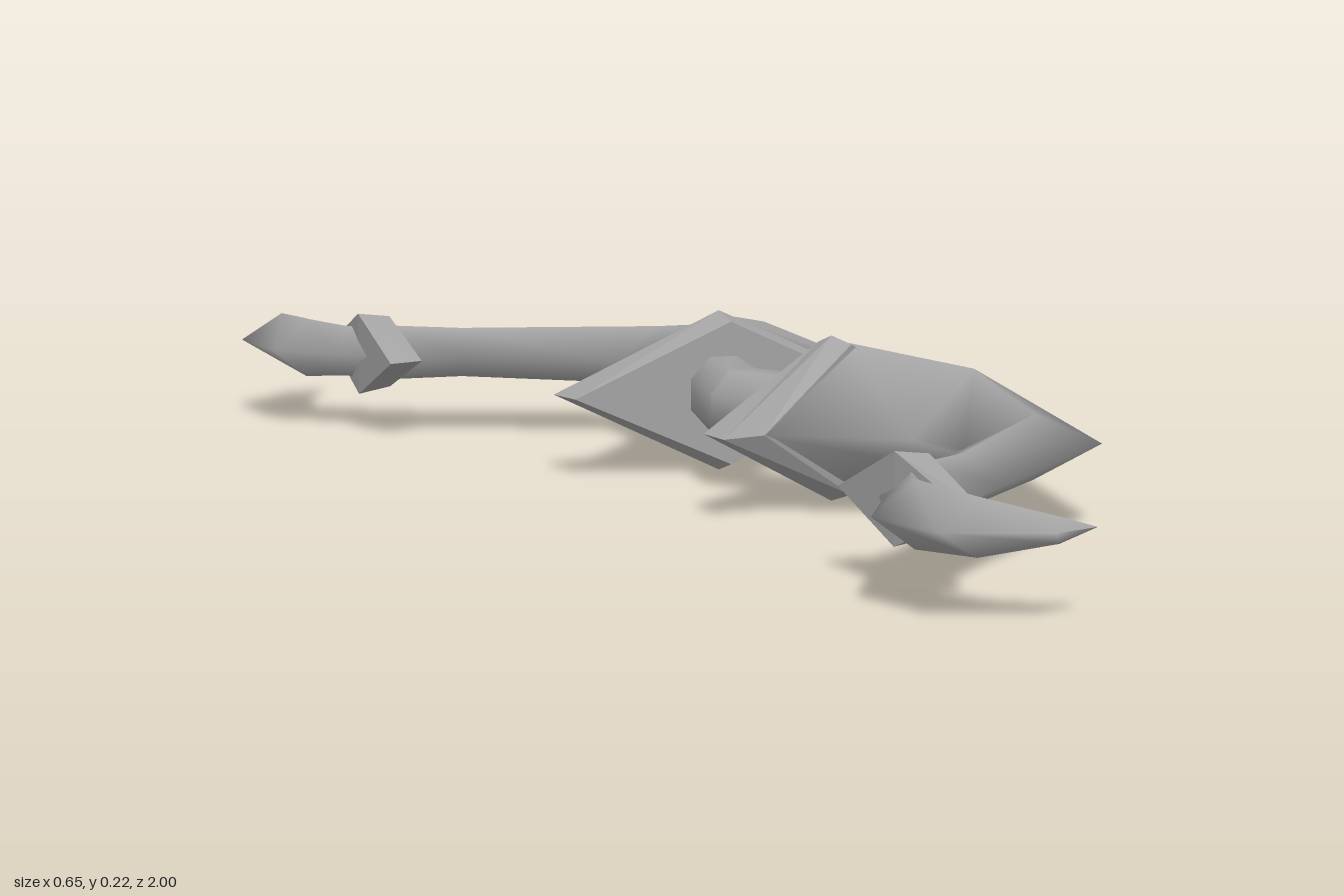
import * as THREE from 'three';

const grey = new THREE.MeshStandardMaterial({ color: 0xa3a3a3 });
grey.name = 'grey';

// Skin a list of cross-sections (rows of [x, y, z]); closed rows wrap round
function loft(rows, { closed = false, caps = false, flat = false } = {}) {
  const n = rows[0].length, idx = [];
  for (let i = 0; i < rows.length - 1; i++) {
    for (let j = 0; j < (closed ? n : n - 1); j++) {
      const k = (j + 1) % n;
      const a = i * n + j, b = i * n + k, c = a + n, d = b + n;
      idx.push(a, c, b, b, c, d);
    }
  }
  if (caps) {
    const e = (rows.length - 1) * n;
    for (let j = 1; j < n - 1; j++) idx.push(0, j, j + 1, e, e + j + 1, e + j);
  }
  let g = new THREE.BufferGeometry();
  g.setAttribute('position', new THREE.Float32BufferAttribute(rows.flat(2), 3));
  g.setIndex(idx);
  if (flat) g = g.toNonIndexed();
  g.computeVertexNormals();
  return g;
}

function add(group, name, geometry) {
  const m = new THREE.Mesh(geometry, grey);
  m.name = name;
  group.add(m);
}

// Limb stations: inner edge x,z | ridge x,z,half height | outer edge x,z
const LIMB = [
  [-0.13, 0.21, 0.05, 0.155, 0.1, 0.22, 0.1],
  [0.025, 0.35, 0.175, 0.265, 0.07, 0.325, 0.19],
  [0.04, 0.445, 0.127, 0.476, 0.042, 0.215, 0.5],
  [-0.13, 0.58, -0.1, 0.65, 0.035, -0.07, 0.7],
  [-0.2, 0.615, -0.19, 0.7, 0.039, -0.18, 0.78],
  [-0.26, 0.72, -0.235, 0.745, 0.036, -0.2, 0.795],
  [-0.325, 0.8, -0.27, 0.81, 0.042, -0.23, 0.835],
  [-0.315, 0.93, -0.255, 0.92, 0.036, -0.21, 0.91],
  [-0.2, 1.0, -0.185, 0.985, 0.016, -0.172, 0.96],
  [-0.135, 0.99, -0.135, 0.99, 0, -0.135, 0.99],
];

// Guard stations in the same layout, from the grip side to the limb side
const GUARD = [
  [-0.18, 0.17, 0.03, 0.112, 0.098, 0.23, 0.06],
  [-0.183, 0.225, 0.03, 0.145, 0.11, 0.26, 0.085],
  [-0.12, 0.222, 0.045, 0.17, 0.1, 0.235, 0.103],
];

const outerRow = ([, , tx, tz, h, ox, oz]) => [[tx, h, tz], [ox, 0, oz], [tx, -h, tz]];
const innerRow = ([ix, iz, tx, tz, h]) => [[tx, -h, tz], [ix, 0, iz], [tx, h, tz]];
const diamondRow = (s) => [...outerRow(s), [s[0], 0, s[1]]];

function gripRow(x, z, r = 0.052, sides = 8) {
  const row = [];
  for (let j = 0; j < sides; j++) {
    const a = (j / sides) * Math.PI * 2 + Math.PI / sides;
    row.push([x + r * Math.sin(a), r * 1.06 * Math.cos(a), z]);
  }
  return row;
}

// One half of the bow, pointing along +z
function createHalf(name) {
  const half = new THREE.Group();
  half.name = name;

  // Grip half, meeting its twin in a shallow bend
  add(half, 'grip', loft([gripRow(-0.02, 0), gripRow(0.035, 0.16)], { closed: true }));

  // Diamond shaped guard
  add(half, 'guard', loft(GUARD.map(diamondRow), { closed: true, caps: true, flat: true }));

  // Limb and hooked tip, with a sharp ridge above and below
  add(half, 'limbShoulder', loft(LIMB.slice(0, 2).map(outerRow)));
  add(half, 'limbOuterSide', loft(LIMB.slice(1).map(outerRow)));
  add(half, 'limbInnerSide', loft(LIMB.map(innerRow)));

  // Diamond collar round the limb
  const collar = [
    [[-0.235, 0.058, 0.71], [-0.242, 0, 0.595], [-0.235, -0.058, 0.71], [-0.215, 0, 0.84]],
    [[-0.185, 0.051, 0.71], [-0.19, 0, 0.6], [-0.185, -0.051, 0.71], [-0.178, 0, 0.81]],
  ];
  add(half, 'collar', loft(collar, { closed: true, caps: true, flat: true }));

  half.position.y = 0.11;
  return half;
}

export function createModel() {
  const bow = new THREE.Group();
  bow.name = 'bow';
  const front = createHalf('frontHalf');
  const back = createHalf('backHalf');
  back.rotation.x = Math.PI; // halves are symmetric in height, so a turn mirrors them
  bow.add(front, back);
  return bow;
}
